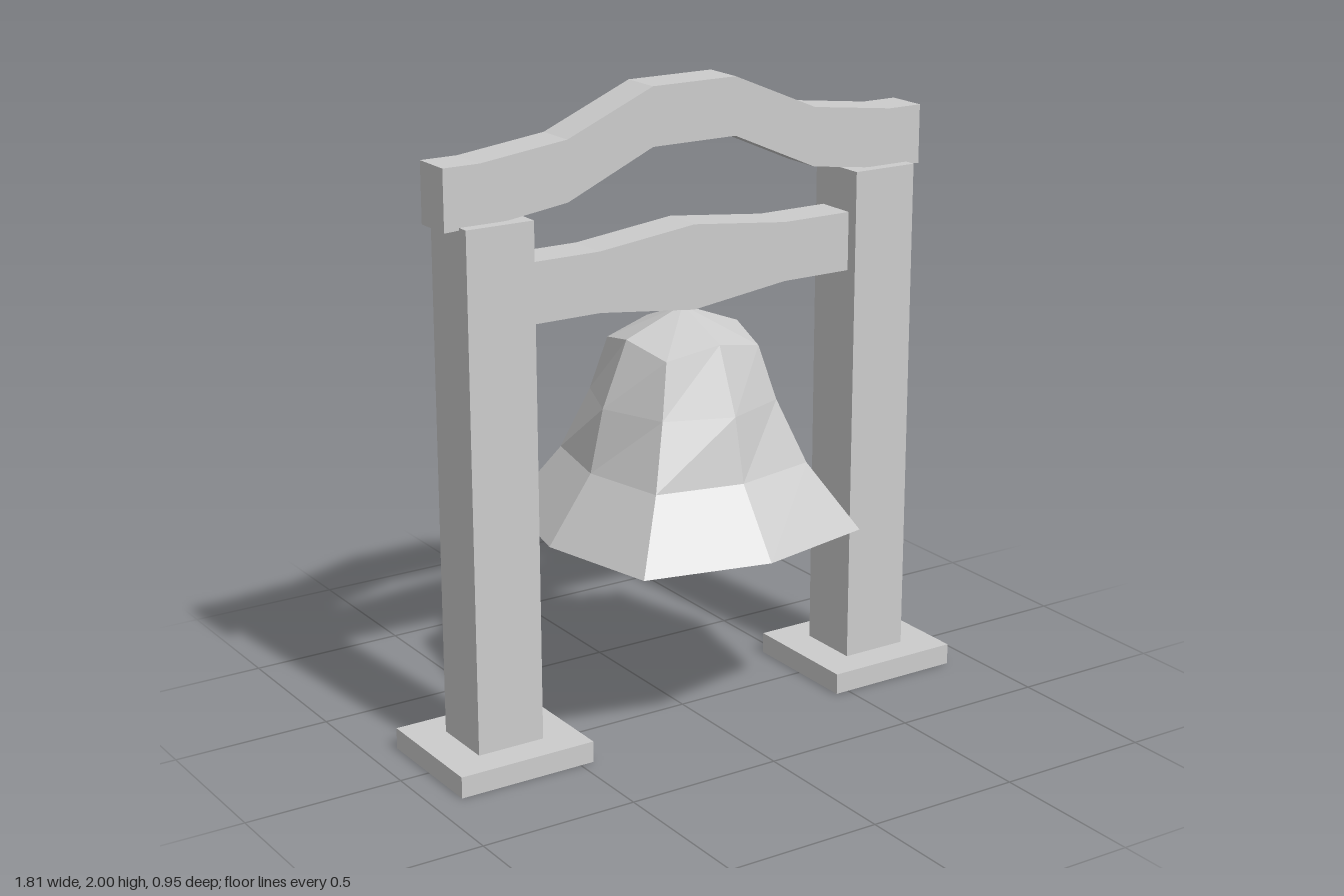
import * as THREE from 'three';

const material = new THREE.MeshStandardMaterial({ color: 0xcccccc, flatShading: true, side: THREE.DoubleSide });

function addMesh(parent, name, geometry, x = 0, y = 0, z = 0) {
  const mesh = new THREE.Mesh(geometry, material);
  mesh.name = name;
  mesh.position.set(x, y, z);
  parent.add(mesh);
  return mesh;
}

// Symmetric beam: top and bottom edges given for the +x half, from centre to end
function beam(top, bottom, depth) {
  const mirror = ([x, y]) => [-x, y];
  const points = [
    ...top.slice().reverse(), ...top.map(mirror),
    ...bottom.slice().reverse().map(mirror), ...bottom,
  ].map(([x, y]) => new THREE.Vector2(x, y))
    .filter((p, i, all) => i === 0 || p.distanceTo(all[i - 1]) > 1e-6);
  if (points[0].distanceTo(points[points.length - 1]) < 1e-6) points.pop();
  const geometry = new THREE.ExtrudeGeometry(new THREE.Shape(points), { depth, bevelEnabled: false });
  return geometry.translate(0, 0, -depth / 2);
}

// Eight-sided bell: each ring is [axis reach, axis height, corner reach, corner height]
function bell(rings, roofY, crownY) {
  const positions = [];
  const at = ([a, ay, c, cy], i) => {
    const angle = (i % 8) * Math.PI / 4;
    const even = i % 2 === 0;
    const radius = even ? a : c * Math.SQRT2;
    return [radius * Math.sin(angle), even ? ay : cy, radius * Math.cos(angle)];
  };
  const triangle = (...corners) => corners.forEach((p) => positions.push(...p));
  for (let i = 0; i < 8; i++) {
    for (let r = 0; r < rings.length - 1; r++) {
      const a = at(rings[r], i), b = at(rings[r], i + 1);
      const c = at(rings[r + 1], i + 1), d = at(rings[r + 1], i);
      triangle(a, b, c);
      triangle(a, c, d);
    }
    // cavity roof and crown
    triangle([0, roofY, 0], at(rings[0], i + 1), at(rings[0], i));
    const last = rings[rings.length - 1];
    triangle(at(last, i), at(last, i + 1), [0, crownY, 0]);
  }
  const geometry = new THREE.BufferGeometry();
  geometry.setAttribute('position', new THREE.Float32BufferAttribute(positions, 3));
  geometry.computeVertexNormals();
  return geometry;
}

export function createModel() {
  const model = new THREE.Group();
  model.name = 'bellFrame';

  // Posts on flat feet
  for (const [side, s] of [['left', 1], ['right', -1]]) {
    addMesh(model, side + 'Foot', new THREE.BoxGeometry(0.45, 0.067, 0.41), s * 0.68, 0.0335);
    addMesh(model, side + 'Post', new THREE.BoxGeometry(0.22, 1.6, 0.206), s * 0.68, 0.867);
  }

  // Arched top beam
  addMesh(model, 'topBeam', beam(
    [[0.145, 2], [0.435, 1.877], [0.72, 1.842], [0.838, 1.842]],
    [[0.145, 1.822], [0.435, 1.694], [0.63, 1.668], [0.838, 1.657]],
    0.132,
  ));

  // Beam carrying the bell
  addMesh(model, 'crossBeam', beam(
    [[0, 1.572], [0.33, 1.535], [0.57, 1.535]],
    [[0, 1.31], [0.33, 1.35], [0.57, 1.35]],
    0.132,
  ));

  // Bell: cavity, flat rim, flare, waist and shoulder
  addMesh(model, 'bell', bell([
    [0.24, 0.83, 0.2, 0.83],
    [0.395, 0.63, 0.325, 0.63],
    [0.477, 0.63, 0.39, 0.63],
    [0.33, 0.835, 0.272, 0.835],
    [0.285, 1.03, 0.205, 1.03],
    [0.2, 1.232, 0.165, 1.197],
  ], 0.83, 1.31));

  return model;
}
